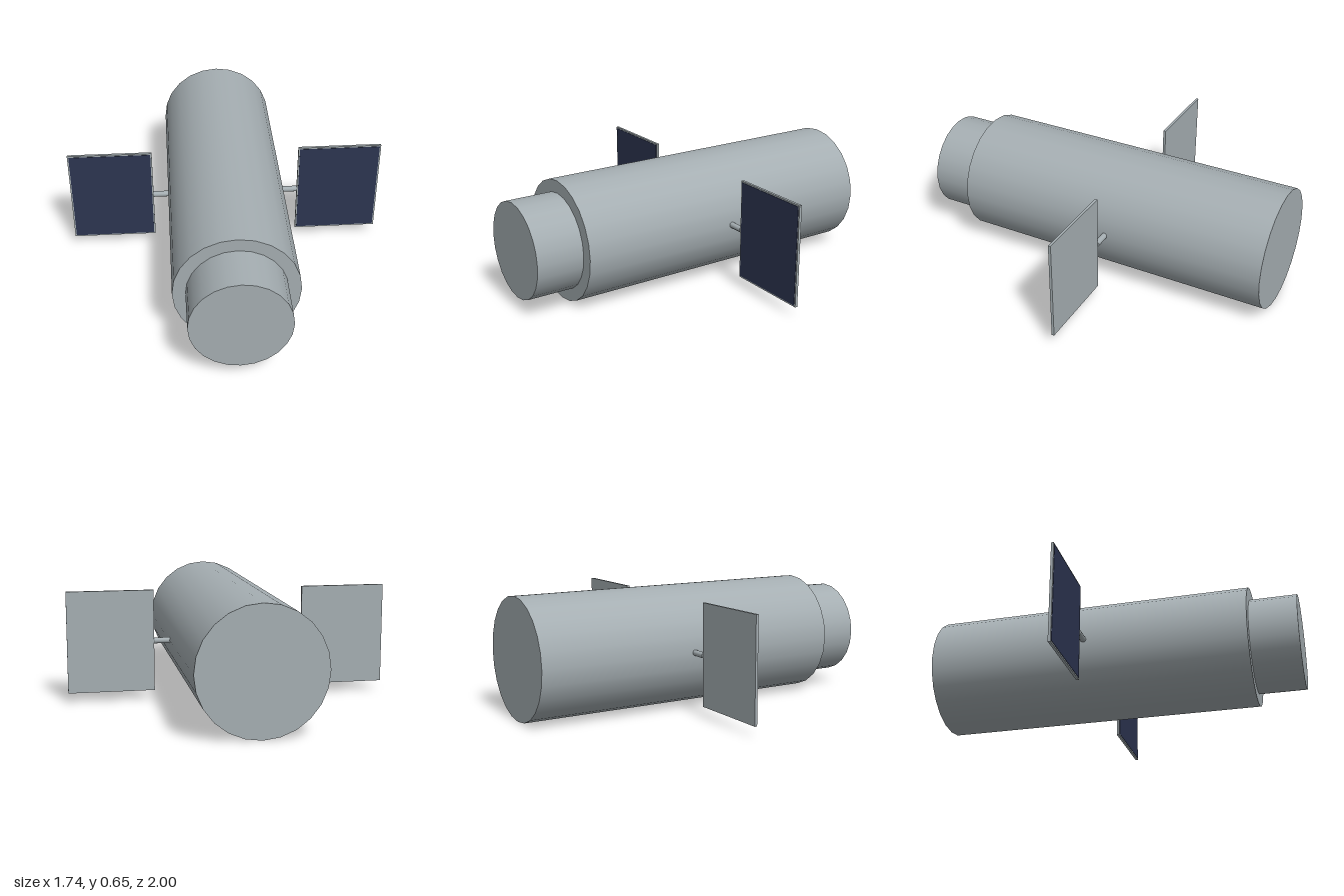
import * as THREE from 'three';

const AXIS_Y = 0.325; // height of the body's long axis
const PANEL_Z = -0.13;

export function createModel() {
  const model = new THREE.Group();
  model.name = 'satellite';

  const hull = new THREE.MeshStandardMaterial({ color: 0xa5aeb2 });
  hull.name = 'hull grey';
  const solar = new THREE.MeshStandardMaterial({ color: 0x2d3551 });
  solar.name = 'solar navy';

  const add = (name, geometry, material, x, y, z) => {
    const mesh = new THREE.Mesh(geometry, material);
    mesh.name = name;
    mesh.position.set(x, y, z);
    model.add(mesh);
  };

  // Cylinder lying along z between two depths
  const barrel = (name, radius, z0, z1) => {
    const geometry = new THREE.CylinderGeometry(radius, radius, z1 - z0, 24).rotateX(Math.PI / 2);
    add(name, geometry, hull, 0, AXIS_Y, (z0 + z1) / 2);
  };
  barrel('body', 0.325, -1, 0.745);
  barrel('frontSection', 0.258, 0.74, 1);

  // Mirrored solar wings
  for (const [side, s] of [['left', 1], ['right', -1]]) {
    // Arm from the body to the panel's inner edge
    const arm = new THREE.CylinderGeometry(0.016, 0.016, 0.11, 12).rotateZ(Math.PI / 2);
    add(side + 'PanelArm', arm, hull, s * 0.355, AXIS_Y, PANEL_Z);

    // Backing plate with a thin cell sheet on its front
    add(side + 'PanelFrame', new THREE.BoxGeometry(0.464, 0.548, 0.014), hull, s * 0.64, 0.327, PANEL_Z);
    add(side + 'SolarCells', new THREE.BoxGeometry(0.448, 0.532, 0.004), solar, s * 0.64, 0.327, PANEL_Z + 0.007);
  }

  return model;
}
